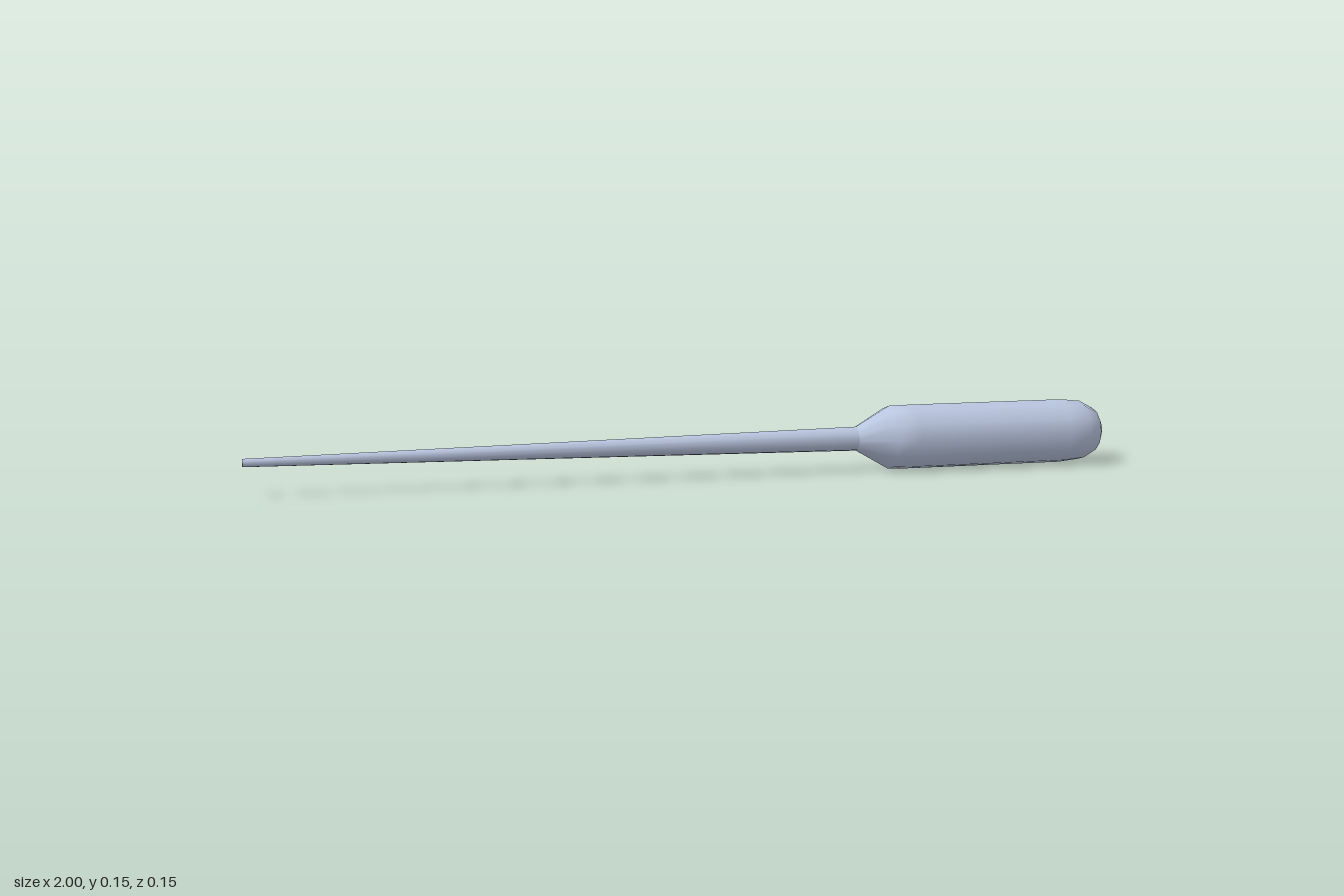
import * as THREE from 'three';

const SIDES = 12, AXIS = 0.075;
const TIP_R = 0.009, NECK_R = 0.028, NECK_X = 0.385;

// Stem radius at a position along x
const stemRadius = (x) => TIP_R + (NECK_R - TIP_R) * (x + 1) / (NECK_X + 1);

// Revolve a list of [x, radius] about the long axis; half 0 = full, 1 = front, 2 = back
function revolve(name, profile, material, half = 0) {
  const points = profile.map(([x, r]) => new THREE.Vector2(r, x));
  const start = half === 0 ? 0 : half === 1 ? -Math.PI / 2 : Math.PI / 2;
  const geometry = new THREE.LatheGeometry(points, half ? SIDES / 2 : SIDES, start, half ? Math.PI : Math.PI * 2);
  geometry.rotateZ(-Math.PI / 2);
  geometry.translate(0, AXIS, 0);
  const mesh = new THREE.Mesh(geometry, material);
  mesh.name = name;
  return mesh;
}

export function createModel() {
  const group = new THREE.Group();
  group.name = 'dropper';
  const plastic = new THREE.MeshStandardMaterial({ color: 0xbac6e0, side: THREE.DoubleSide });
  plastic.name = 'pale blue plastic';
  const tint = new THREE.MeshStandardMaterial({ color: 0xa9a7b4, side: THREE.DoubleSide });
  tint.name = 'grey tint';

  const stem = (x0, x1) => [[x0, stemRadius(x0)], [x1, stemRadius(x1)]];

  // Tapering stem, tinted along the back of its middle stretch
  group.add(revolve('stemTip', stem(-1, -0.6), plastic));
  group.add(revolve('stemFront', stem(-0.6, 0.33), plastic, 1));
  group.add(revolve('stemBack', stem(-0.6, 0.33), tint, 2));
  group.add(revolve('stemNeck', stem(0.33, NECK_X), plastic));

  // Squeeze bulb with conical shoulder and rounded end
  group.add(revolve('bulb', [
    [NECK_X, NECK_R], [0.465, 0.074], [0.52, 0.075], [0.895, 0.075],
    [0.945, 0.07], [0.98, 0.051], [0.996, 0.022], [1, 0],
  ], plastic));

  return group;
}
